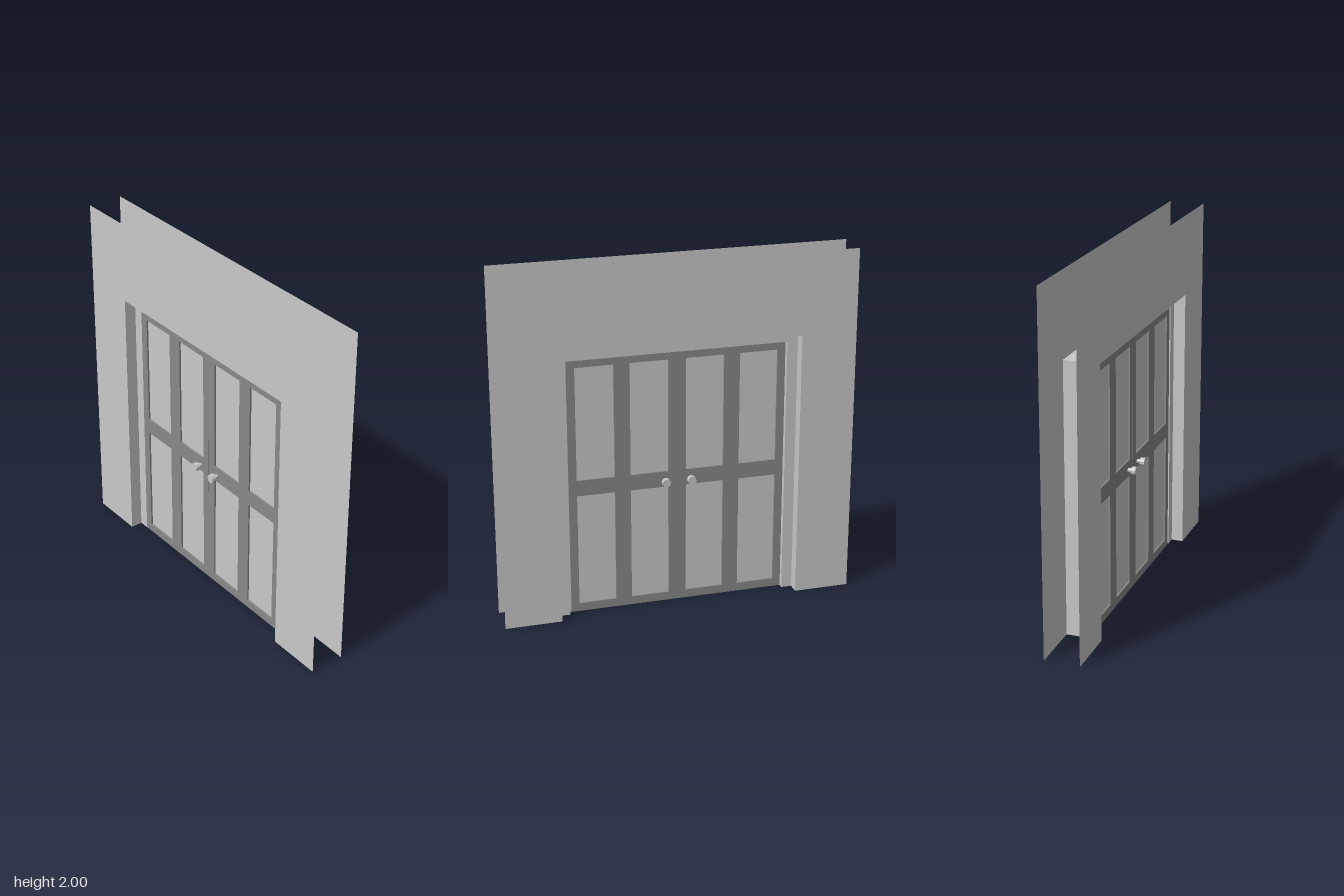
import * as THREE from 'three';

const pale = new THREE.MeshStandardMaterial({ color: 0xc9c9c9, side: THREE.DoubleSide });
pale.name = 'pale grey';
const dark = new THREE.MeshStandardMaterial({ color: 0x898989 });
dark.name = 'dark grey';

const OPEN = { l: -0.685, r: 0.68, top: 1.535 }; // wall opening
const DOOR = { back: -0.002, front: 0.03, top: 1.48 };

function add(parent, name, geometry, material) {
  const mesh = new THREE.Mesh(geometry, material);
  mesh.name = name;
  parent.add(mesh);
  return mesh;
}

// Box given by its extents
function box(parent, name, x0, x1, y0, y1, z0, z1, material) {
  const mesh = add(parent, name, new THREE.BoxGeometry(x1 - x0, y1 - y0, z1 - z0), material);
  mesh.position.set((x0 + x1) / 2, (y0 + y1) / 2, (z0 + z1) / 2);
  return mesh;
}

// Upside-down U outline around an opening
function arch(l, r, top, il, ir, itop) {
  return new THREE.Shape([
    [l, 0], [il, 0], [il, itop], [ir, itop], [ir, 0], [r, 0], [r, top], [l, top],
  ].map(([x, y]) => new THREE.Vector2(x, y)));
}

function rectHole(x0, x1, y0, y1) {
  return new THREE.Path([
    [x0, y0], [x0, y1], [x1, y1], [x1, y0],
  ].map(([x, y]) => new THREE.Vector2(x, y)));
}

function createWall(group) {
  // Two thin wall faces
  const outline = arch(-1, 1, 2, OPEN.l, OPEN.r, OPEN.top);
  for (const side of [1, -1]) {
    const geometry = new THREE.ShapeGeometry(outline);
    if (side < 0) geometry.scale(1, 1, -1).setIndex([...geometry.index.array].reverse());
    geometry.computeVertexNormals();
    add(group, side > 0 ? 'frontWall' : 'backWall', geometry, pale).position.z = side * 0.1;
  }
  // Lining between the wall faces
  for (const [name, x, turn] of [['leftReveal', OPEN.r, -1], ['rightReveal', OPEN.l, 1]]) {
    const m = add(group, name, new THREE.PlaneGeometry(0.2, OPEN.top), pale);
    m.position.set(x, OPEN.top / 2, 0);
    m.rotation.y = turn * Math.PI / 2;
  }
  const head = add(group, 'topReveal', new THREE.PlaneGeometry(OPEN.r - OPEN.l, 0.2), pale);
  head.position.set((OPEN.l + OPEN.r) / 2, OPEN.top, 0);
  head.rotation.x = Math.PI / 2;
}

function createFrame(group) {
  const shape = arch(OPEN.l, OPEN.r, OPEN.top + 0.006, -0.625, 0.62, 1.485);
  const geometry = new THREE.ExtrudeGeometry(shape, { depth: 0.064, bevelEnabled: false });
  add(group, 'doorFrame', geometry, pale).position.z = -0.032;
  // Strip closing the gap beside the left door
  box(group, 'doorStop', 0.602, 0.622, 0, 1.485, 0.004, 0.022, pale);
}

function createDoor(name, x0, x1, panels, knobX) {
  const door = new THREE.Group();
  door.name = name;
  const rows = [[0.048, 0.697], [0.787, 1.435]];
  const shape = new THREE.Shape([
    new THREE.Vector2(x0, 0), new THREE.Vector2(x1, 0),
    new THREE.Vector2(x1, DOOR.top), new THREE.Vector2(x0, DOOR.top),
  ]);
  for (const [a, b] of panels) {
    for (const [c, d] of rows) {
      shape.holes.push(rectHole(a, b, c, d));
      // Recessed panel
      box(door, 'panel', a, b, c, d, 0.008, 0.02, pale);
    }
  }
  const geometry = new THREE.ExtrudeGeometry(shape, { depth: DOOR.front - DOOR.back, bevelEnabled: false });
  add(door, 'doorLeaf', geometry, dark).position.z = DOOR.back;

  // Knob and stem on each face
  for (const [face, side] of [[DOOR.front, 1], [DOOR.back, -1]]) {
    for (const [part, radius, from, to] of [['knobStem', 0.012, 0, 0.025], ['knob', 0.024, 0.022, 0.048]]) {
      const g = new THREE.CylinderGeometry(radius, radius, to - from, 10).toNonIndexed();
      g.computeVertexNormals();
      const m = add(door, part, g, pale);
      m.rotation.x = Math.PI / 2;
      m.position.set(knobX, 0.735, face + side * (from + to) / 2);
    }
  }
  return door;
}

export function createModel() {
  const model = new THREE.Group();
  model.name = 'doubleDoorway';
  createWall(model);
  createFrame(model);
  model.add(
    createDoor('rightDoor', -0.626, -0.0105, [[-0.58, -0.364], [-0.274, -0.058]], -0.082),
    createDoor('leftDoor', -0.0095, 0.606, [[0.041, 0.257], [0.346, 0.56]], 0.064),
  );
  return model;
}
